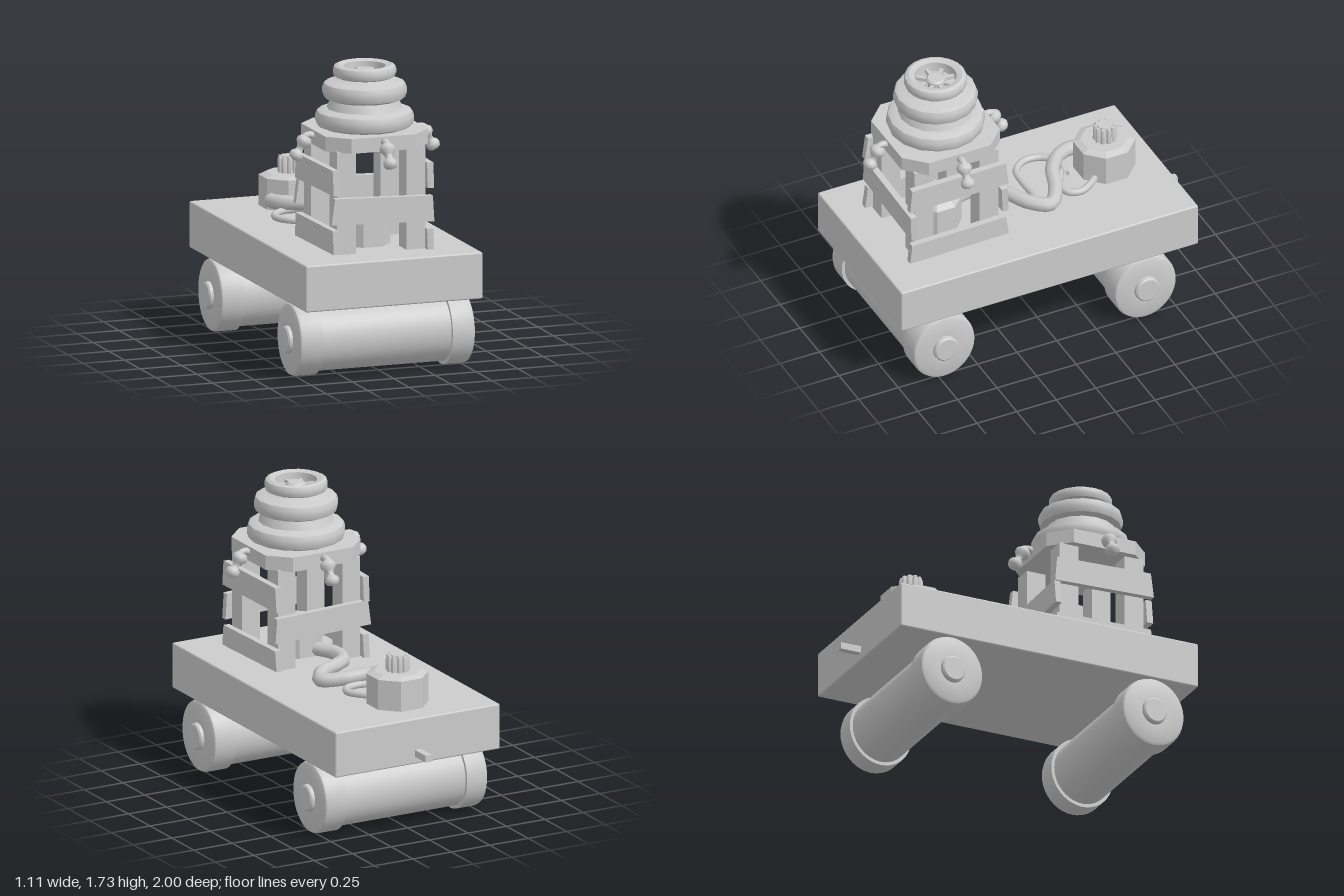
import * as THREE from 'three';
import { toCreasedNormals } from 'three/addons/utils/BufferGeometryUtils.js';
import { RoundedBoxGeometry } from 'three/addons/geometries/RoundedBoxGeometry.js';

const mat = new THREE.MeshStandardMaterial({ color: 0xcccccc, side: THREE.DoubleSide });

function add(parent, name, geometry, x = 0, y = 0, z = 0) {
  const mesh = new THREE.Mesh(geometry, mat);
  mesh.name = name;
  mesh.position.set(x, y, z);
  parent.add(mesh);
  return mesh;
}

function lathe(points, segments, crease = 0.6, phase = 0) {
  const g = new THREE.LatheGeometry(points.map(([r, y]) => new THREE.Vector2(r, y)), segments, phase);
  return toCreasedNormals(g, crease);
}

function tube(points, radius, segments = 40, sides = 8) {
  const curve = new THREE.CatmullRomCurve3(points.map(p => new THREE.Vector3(...p)));
  return new THREE.TubeGeometry(curve, segments, radius, sides);
}

// Rounded ring section for the stacked dome
function ringSection(r, y0, y1) {
  const h = y1 - y0, b = h * 0.3;
  return [[r - b * 1.2, y0], [r - b * 0.3, y0 + b * 0.4], [r, y0 + b * 1.2],
    [r, y1 - b * 1.2], [r - b * 0.3, y1 - b * 0.4], [r - b * 1.2, y1]];
}

// Wide roller with a thicker cap and a hub at each end
function makeRoller(z) {
  const roller = new THREE.Group();
  roller.name = 'roller';
  const half = [[0.19, 0], [0.19, 0.39], [0.21, 0.39], [0.21, 0.505], [0.204, 0.522],
    [0.19, 0.53], [0.08, 0.53], [0.078, 0.548], [0.068, 0.556], [0, 0.556]];
  const profile = [...half.slice(1).reverse().map(([r, y]) => [r, -y]), ...half.slice(1)];
  const body = add(roller, 'rollerBody', lathe(profile, 40));
  body.rotation.z = Math.PI / 2;
  roller.scale.z = 0.93;
  roller.position.set(0, 0.21, z);
  return roller;
}

// Octagonal canister with a bevelled lid
function makeCanister(name, radius, wall, top) {
  const pts = [[0, 0], [radius, 0], [radius, wall], [radius * 0.76, top], [0, top]];
  const mesh = new THREE.Mesh(lathe(pts, 8, 0.2, Math.PI / 8), mat);
  mesh.name = name;
  return mesh;
}

// Small hanging lamp on a curved arm, pointing out along +x
function makeLamp() {
  const lamp = new THREE.Group();
  lamp.name = 'lamp';
  add(lamp, 'lampArm', tube([[0.29, 1.325, 0], [0.335, 1.34, 0], [0.37, 1.325, 0], [0.385, 1.3, 0]], 0.02, 10));
  const bulb = add(lamp, 'lampBulb', lathe([[0, 0.045], [0.03, 0.04], [0.045, 0.02], [0.044, 0], [0.028, -0.018],
    [0.02, -0.035], [0.024, -0.05], [0.038, -0.062], [0.042, -0.08], [0.034, -0.1], [0, -0.112]].reverse(), 12, 1), 0.372, 1.295, 0);
  bulb.rotation.z = 0.55;
  return lamp;
}

export function createModel() {
  const model = new THREE.Group();
  model.name = 'rollerCart';

  // Deck, tow rod and rollers
  add(model, 'deck', new RoundedBoxGeometry(1.07, 0.27, 1.875, 2, 0.01), 0.005, 0.555, 0.0625);
  add(model, 'towRod', new THREE.BoxGeometry(0.04, 0.04, 0.16), 0.005, 0.485, -0.92);
  for (const z of [0.72, -0.55]) model.add(makeRoller(z));

  // Tower: legs, crooked boards and top plate
  const tower = new THREE.Group();
  tower.name = 'tower';
  tower.position.set(0.005, 0, 0.52);
  model.add(tower);
  for (const sx of [-1, 1]) for (const sz of [-1, 1])
    add(tower, 'leg', new THREE.BoxGeometry(0.115, 0.6, 0.118), sx * 0.21, 0.985, sz * 0.205);

  const boards = [ // x, y, z, yaw, tilt, height
    [0, 0.937, 0.285, 0, -0.038, 0.15],
    [0, 0.95, -0.29, 0, -0.03, 0.145],
    [0.285, 1.122, 0, Math.PI / 2, 0.01, 0.145],
    [0.285, 0.755, 0, Math.PI / 2, 0.02, 0.12],
    [-0.285, 1.107, 0, Math.PI / 2, -0.025, 0.145],
    [-0.285, 0.765, 0, Math.PI / 2, -0.015, 0.135],
  ];
  for (const [x, y, z, yaw, tilt, h] of boards) {
    const g = new THREE.BoxGeometry(0.61, h, 0.038);
    const p = g.attributes.position;
    // Slightly wider along the lower edge
    for (let i = 0; i < p.count; i++) p.setX(i, p.getX(i) * (p.getY(i) < 0 ? 1.02 : 0.97));
    const board = add(tower, 'board', g, x, y, z);
    board.rotation.set(0, yaw, tilt);
  }

  const a = 0.31, c = 0.195;
  const outline = new THREE.Shape([[a, -c], [a, c], [c, a], [-c, a], [-a, c], [-a, -c], [-c, -a], [c, -a]]
    .map(([x, y]) => new THREE.Vector2(x, y)));
  const plate = add(tower, 'topPlate', new THREE.ExtrudeGeometry(outline, { depth: 0.085, bevelEnabled: false }), 0, 1.28, 0);
  plate.rotation.x = -Math.PI / 2;

  // Stacked dome with a recessed top and centre knob
  add(tower, 'dome', lathe([[0, 1.365], ...ringSection(0.28, 1.365, 1.47), [0.215, 1.475], [0.195, 1.525],
    ...ringSection(0.24, 1.525, 1.63), [0.13, 1.632], [0.1, 1.65], [0.055, 1.655], [0.055, 1.69], [0.045, 1.7], [0, 1.7]], 16, 0.7));
  add(tower, 'topRing', lathe([[0.115, 1.66], ...ringSection(0.18, 1.65, 1.725), [0.12, 1.715], [0.115, 1.66]], 20, 0.7));
  for (let i = 0; i < 4; i++) {
    const spoke = add(tower, 'spoke', new THREE.BoxGeometry(0.25, 0.02, 0.02), 0, 1.672, 0);
    spoke.rotation.y = i * Math.PI / 4;
    const lamp = makeLamp();
    lamp.rotation.y = i * Math.PI / 2;
    tower.add(lamp);
  }

  // Canister standing inside the tower
  const inner = makeCanister('innerCanister', 0.147, 0.165, 0.205);
  inner.position.set(0, 0.69, 0);
  tower.add(inner);

  // Rear canister with fluted cap
  const drum = makeCanister('rearCanister', 0.177, 0.178, 0.195);
  drum.position.set(-0.038, 0.69, -0.565);
  model.add(drum);
  const cap = new THREE.Group();
  cap.name = 'flutedCap';
  cap.position.set(-0.038, 0.88, -0.57);
  model.add(cap);
  add(cap, 'capCore', new THREE.CylinderGeometry(0.045, 0.055, 0.1, 16), 0, 0.05, 0);
  for (let i = 0; i < 10; i++) {
    const t = i * Math.PI / 5;
    add(cap, 'capFlute', lathe([[0.017, 0], [0.016, 0.08], [0.01, 0.097], [0, 0.1]], 8), 0.053 * Math.cos(t), 0, 0.053 * Math.sin(t));
  }

  // Thick cable with a lumpy surface, and two thin cable loops
  const path = [[-0.13, 0.74, -0.52], [-0.195, 0.75, -0.45], [-0.16, 0.76, -0.34], [-0.04, 0.765, -0.24], [0.1, 0.745, -0.19],
    [0.2, 0.73, -0.11], [0.13, 0.735, 0], [0, 0.735, 0.07], [-0.09, 0.73, 0.15], [-0.11, 0.73, 0.28], [-0.05, 0.73, 0.42]];
  add(model, 'thickCable', tube(path, 0.042, 64, 8));
  add(model, 'thinCable', tube([[-0.03, 0.715, -0.32], [-0.15, 0.715, -0.335], [-0.24, 0.71, -0.27], [-0.255, 0.71, -0.17],
    [-0.19, 0.71, -0.085], [-0.06, 0.71, -0.07], [0.07, 0.715, -0.07], [0.16, 0.72, -0.05]], 0.021));
  add(model, 'thinCable', tube([[0.04, 0.715, -0.48], [0.1, 0.715, -0.42], [0.145, 0.71, -0.33], [0.12, 0.71, -0.26],
    [0.04, 0.715, -0.25], [-0.06, 0.72, -0.3]], 0.021));
  return model;
}
